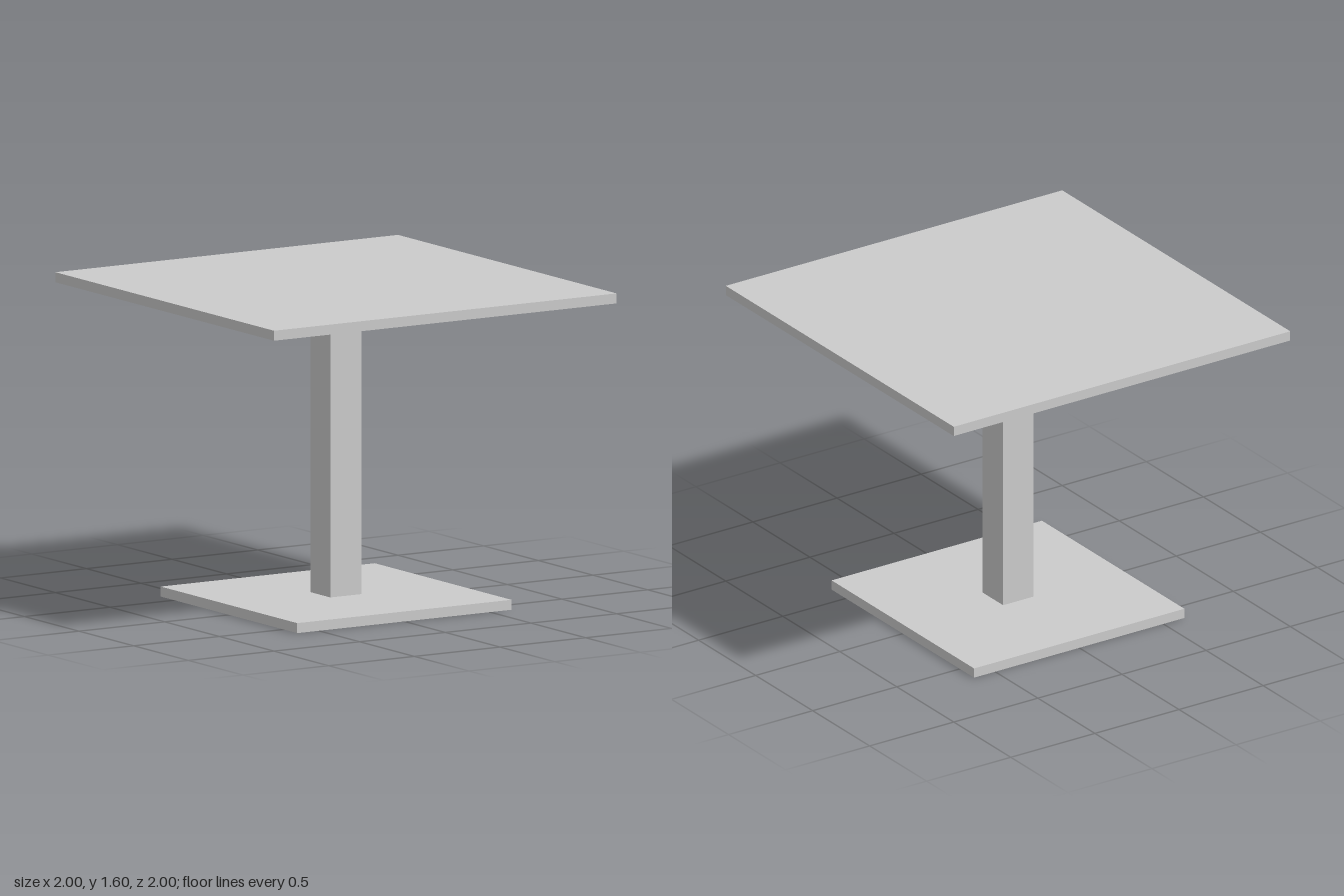
import * as THREE from 'three';

export function createModel() {
  const table = new THREE.Group();
  table.name = 'pedestalTable';
  const material = new THREE.MeshStandardMaterial({ color: 0xcccccc });

  // Square slab of the given width, spanning bottom to top in y
  function addSlab(name, width, bottom, top) {
    const mesh = new THREE.Mesh(new THREE.BoxGeometry(width, top - bottom, width), material);
    mesh.name = name;
    mesh.position.y = (bottom + top) / 2;
    table.add(mesh);
  }

  addSlab('base', 1.25, 0, 0.05);
  addSlab('column', 0.18, 0.05, 1.55);
  addSlab('tabletop', 2, 1.55, 1.6);

  return table;
}
